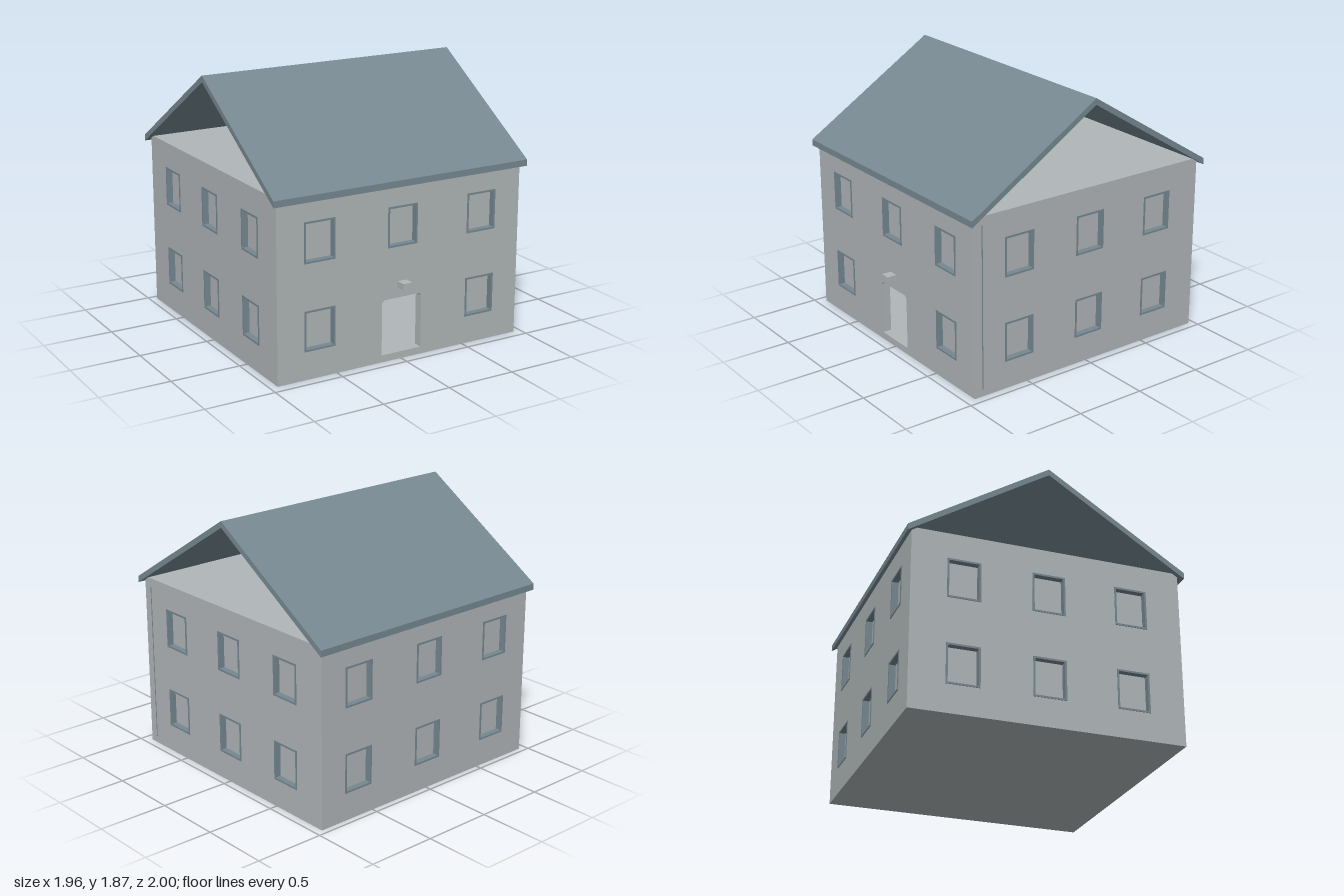
import * as THREE from 'three';

const mat = (name, color) => {
  const m = new THREE.MeshStandardMaterial({ color });
  m.name = name;
  return m;
};

const W = 1.89;         // wall length, all four sides
const H = 1.26;         // wall height
const T = 0.065;        // wall thickness
const CZ = -0.015;      // middle of the house in z
const WIN_W = 0.23, WIN_H = 0.28, BAR = 0.013;

function mesh(name, geometry, material, x = 0, y = 0, z = 0) {
  const m = new THREE.Mesh(geometry, material);
  m.name = name;
  m.position.set(x, y, z);
  return m;
}

// Adds a rectangle centred on (x, y) to a shape or path
function rect(path, x, y, w, h) {
  path.moveTo(x - w / 2, y - h / 2);
  path.lineTo(x + w / 2, y - h / 2);
  path.lineTo(x + w / 2, y + h / 2);
  path.lineTo(x - w / 2, y + h / 2);
  path.closePath();
  return path;
}

const extrude = (shape, depth) => new THREE.ExtrudeGeometry(shape, { depth, bevelEnabled: false });

export function createModel() {
  const house = new THREE.Group();
  house.name = 'house';
  const wallMat = mat('pale grey wall', 0xb0b6b8);
  const slateMat = mat('slate blue roof', 0x768891);

  // Frame runs through the wall and stands slightly proud of it
  const frameShape = rect(new THREE.Shape(), 0, 0, WIN_W, WIN_H);
  frameShape.holes.push(rect(new THREE.Path(), 0, 0, WIN_W - 2 * BAR, WIN_H - 2 * BAR));
  const frameGeo = extrude(frameShape, T + 0.008);
  const paneGeo = new THREE.BoxGeometry(WIN_W - 2 * BAR, WIN_H - 2 * BAR, 0.009);

  // One wall with its outer face at local z = 0, facing +z
  function wall(name, length, spacing, hasDoor) {
    const g = new THREE.Group();
    g.name = name;
    const shape = rect(new THREE.Shape(), 0, H / 2, length, H);
    for (const y of [0.337, 0.938]) {
      for (const i of [-1, 0, 1]) {
        if (hasDoor && i === 0 && y < 0.5) continue;
        const x = i * spacing;
        shape.holes.push(rect(new THREE.Path(), x, y, WIN_W - 0.004, WIN_H - 0.004));
        g.add(mesh('windowFrame', frameGeo, slateMat, x, y, -T - 0.004));
        g.add(mesh('windowPane', paneGeo, wallMat, x, y, -0.045));
      }
    }
    if (hasDoor) {
      const door = [[-0.155, 0.05], [0.155, 0.05], [0.155, 0.42], [0.135, 0.44], [-0.135, 0.44], [-0.155, 0.42]];
      shape.holes.push(new THREE.Path(door.map(([x, y]) => new THREE.Vector2(x, y))));
    }
    g.add(mesh(name + 'Panel', extrude(shape, T), wallMat, 0, 0, -T));
    house.add(g);
    return g;
  }

  // Four walls
  wall('frontWall', W, 0.63, true).position.z = CZ + W / 2;
  const back = wall('backWall', W, 0.63, false);
  back.position.z = CZ - W / 2;
  back.rotation.y = Math.PI;
  for (const s of [1, -1]) {
    const side = wall(s > 0 ? 'leftWall' : 'rightWall', W - 2 * T, 0.585, false);
    side.position.set(s * W / 2, 0, CZ);
    side.rotation.y = s * Math.PI / 2;
  }

  // Floor and ceiling inside the walls
  const inner = W - 2 * T;
  house.add(mesh('floor', new THREE.BoxGeometry(inner, 0.05, inner), wallMat, 0, 0.025, CZ));
  house.add(mesh('ceiling', new THREE.BoxGeometry(inner, 0.05, inner), wallMat, 0, H - 0.025, CZ));

  // Narrow joint near the front corner
  house.add(mesh('cornerJoint', new THREE.BoxGeometry(0.003, 1.15, 0.007), slateMat, W / 2, 0.625, 0.865));

  // Lamp above the door
  house.add(mesh('doorLamp', new THREE.BoxGeometry(0.07, 0.045, 0.07), wallMat, 0, 0.533, 0.965));

  // Gabled roof slab, open at both ends; profile in (z, y)
  const profile = [[0.965, 1.215], [0.965, 1.26], [CZ, 1.873], [-0.995, 1.26], [-0.995, 1.215], [CZ, 1.828]];
  const roofShape = new THREE.Shape(profile.map(([z, y]) => new THREE.Vector2(-z, y)));
  const roofGeo = extrude(roofShape, 1.96);
  roofGeo.translate(0, 0, -0.98);
  roofGeo.rotateY(Math.PI / 2);
  house.add(mesh('roof', roofGeo, slateMat));

  return house;
}
